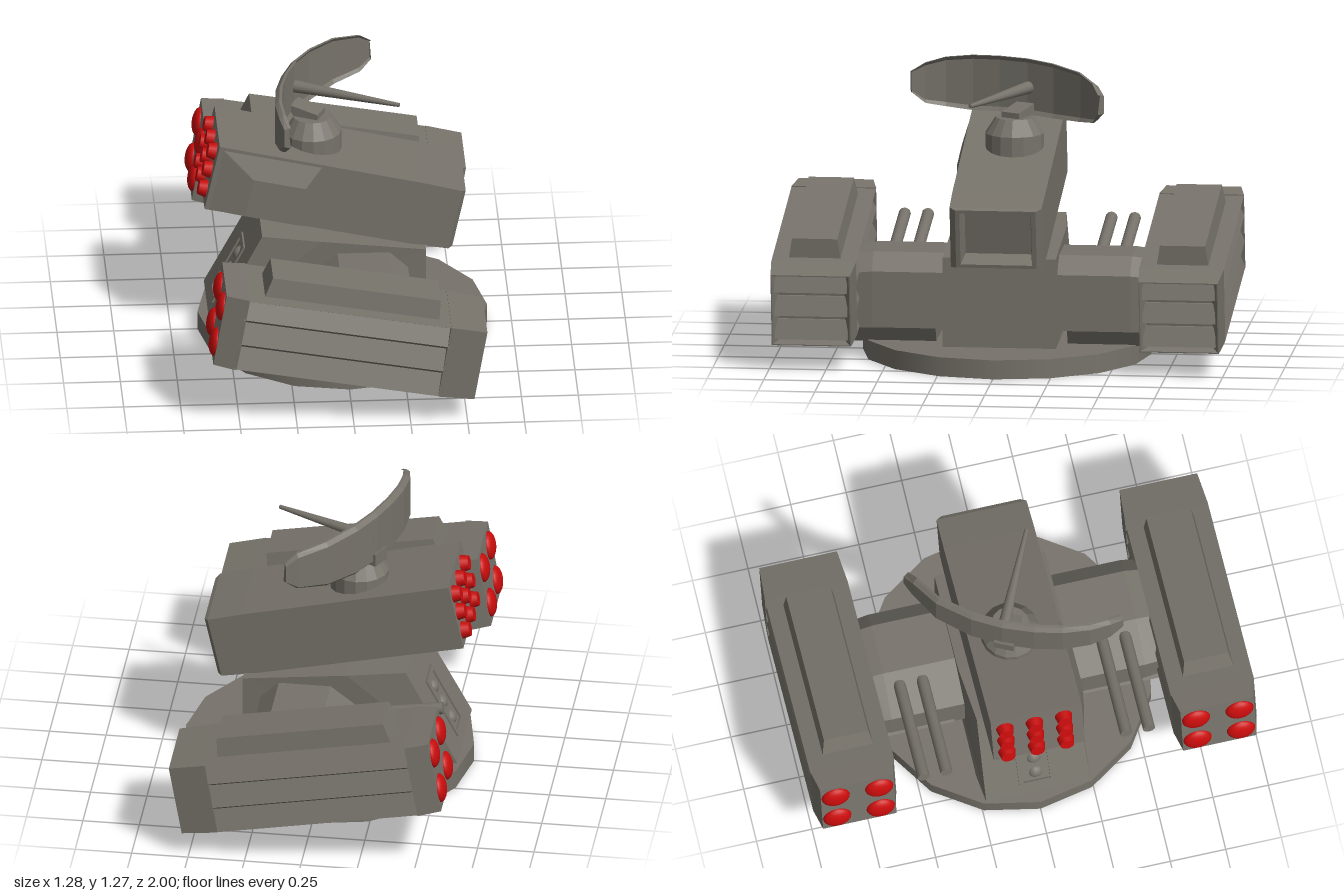
import * as THREE from 'three';

const grey = new THREE.MeshStandardMaterial({ color: 0x77736b });
grey.name = 'armourGrey';
const red = new THREE.MeshStandardMaterial({ color: 0xc80c0c });
red.name = 'warheadRed';

const V = (x, y, z) => new THREE.Vector3(x, y, z);

function add(parent, name, geometry, material = grey, x = 0, y = 0, z = 0) {
  const mesh = new THREE.Mesh(geometry, material);
  mesh.name = name;
  mesh.position.set(x, y, z);
  parent.add(mesh);
  return mesh;
}

// Flat-shaded skin over loops that run counter-clockwise about the direction of travel
function loft(loops) {
  const pos = [];
  const tri = (...points) => points.forEach((p) => pos.push(p.x, p.y, p.z));
  const n = loops[0].length, last = loops[loops.length - 1];
  for (let i = 0; i < loops.length - 1; i++) {
    for (let j = 0; j < n; j++) {
      const k = (j + 1) % n;
      const a = loops[i][j], b = loops[i][k], c = loops[i + 1][k], d = loops[i + 1][j];
      tri(a, b, c);
      tri(a, c, d);
    }
  }
  for (let j = 1; j < n - 1; j++) {
    tri(loops[0][0], loops[0][j + 1], loops[0][j]);
    tri(last[0], last[j], last[j + 1]);
  }
  const g = new THREE.BufferGeometry();
  g.setAttribute('position', new THREE.Float32BufferAttribute(pos, 3));
  g.computeVertexNormals();
  return g;
}

// Rectangular sections across each axis, and a polygon section across z
const rectX = (x, hy, hz) => [V(x, -hy, -hz), V(x, hy, -hz), V(x, hy, hz), V(x, -hy, hz)];
const rectY = (y, x0, x1, hz) => [V(x0, y, -hz), V(x0, y, hz), V(x1, y, hz), V(x1, y, -hz)];
const rectZ = (z, x0, x1, y0, y1) => [V(x0, y0, z), V(x1, y0, z), V(x1, y1, z), V(x0, y1, z)];
const polyZ = (pts, z) => pts.map(([x, y]) => V(x, y, z));
const prism = (pts, z0, z1) => loft([polyZ(pts, z0), polyZ(pts, z1)]);

// Round bar between two points
function bar(parent, name, a, b, ra, rb) {
  const m = add(parent, name, new THREE.CylinderGeometry(rb, ra, a.distanceTo(b), 12));
  m.position.copy(a).lerp(b, 0.5);
  m.quaternion.setFromUnitVectors(V(0, 1, 0), b.clone().sub(a).normalize());
}

function missilePod(z) {
  const pod = new THREE.Group();
  pod.name = 'missilePod';
  pod.position.set(-0.015, 0.375, z);
  pod.rotation.z = THREE.MathUtils.degToRad(-10);

  add(pod, 'muzzleCap', loft([rectX(-0.583, 0.17, 0.165), rectX(-0.48, 0.172, 0.187)]));

  // Slatted sides
  const side = [
    [0.168, 0.187], [0.15, 0.15], [0.075, 0.187], [0.05, 0.15],
    [-0.045, 0.187], [-0.07, 0.15], [-0.168, 0.187],
  ];
  const slats = (x) => [
    ...side.map(([y, w]) => V(x, y, w)),
    ...side.slice().reverse().map(([y, w]) => V(x, y, -w)),
  ];
  add(pod, 'slattedBody', loft([slats(-0.49), slats(0.43)]));

  // Rear cap with a louvred recess
  add(pod, 'rearCap', loft([
    rectX(0.42, 0.17, 0.187), rectX(0.582, 0.165, 0.175),
    rectX(0.582, 0.16, 0.17), rectX(0.535, 0.155, 0.145),
  ]));
  for (const y of [0.115, 0.005, -0.105]) {
    const louvre = prism([[0.53, -0.05], [0.581, -0.032], [0.545, 0.05], [0.53, 0.05]], -0.16, 0.16);
    add(pod, 'rearLouvre', louvre, grey, 0, y, 0);
  }

  add(pod, 'roofPanel', loft([rectY(0.16, -0.41, 0.372, 0.115), rectY(0.254, -0.387, 0.362, 0.1)]));

  for (const y of [-0.088, 0.088]) {
    for (const w of [-0.098, 0.098]) {
      const dome = add(pod, 'missileTip', new THREE.SphereGeometry(0.064, 20, 12), red, -0.582, y, w);
      dome.scale.x = 0.48;
    }
  }
  return pod;
}

function mainLauncher() {
  const box = new THREE.Group();
  box.name = 'mainLauncher';
  box.position.set(-0.036, 0.72, 0);
  box.rotation.z = THREE.MathUtils.degToRad(-12.5);

  // Long housing ending in a hollow rear opening
  add(box, 'housing', loft([
    rectX(-0.556, 0.155, 0.205), rectX(0.386, 0.15, 0.205), rectX(0.54, 0.143, 0.203),
    rectX(0.558, 0.137, 0.178), rectX(0.558, 0.122, 0.158), rectX(0.46, 0.11, 0.145),
  ]));
  // Bulge on one flank only
  add(box, 'flankBulge', loft([
    rectZ(0.2, -0.555, -0.085, -0.155, 0.154),
    rectZ(0.24, -0.38, -0.145, -0.14, 0.04),
  ]));
  for (const y of [-0.095, 0, 0.09]) {
    for (const z of [-0.145, -0.012, 0.12]) {
      const tip = add(box, 'rocketTip', new THREE.CylinderGeometry(0.031, 0.041, 0.045, 16), red, -0.57, y, z);
      tip.rotation.z = Math.PI / 2;
    }
  }
  return box;
}

function radar() {
  const g = new THREE.Group();
  g.name = 'radar';
  const neck = [[0.13, 0.83], [0.13, 0.955], [0.085, 1.025], [0, 1.025]];
  add(g, 'neck', new THREE.LatheGeometry(neck.map(([r, y]) => new THREE.Vector2(r, y)), 16)
    .toNonIndexed(), grey, -0.127, 0, -0.02).geometry.computeVertexNormals();
  const mount = add(g, 'dishMount', prism([[-0.09, 0], [0.07, 0], [0.07, 0.03], [-0.09, 0.06]], -0.045, 0.045), grey, -0.15, 1.02, -0.035);
  mount.rotation.y = -0.45;

  // Curved dish: x, z, lower edge, upper edge
  const path = [
    [0.15, -0.425, 1.095, 1.185], [0.1, -0.395, 1.05, 1.225], [-0.02, -0.32, 1.03, 1.25],
    [-0.13, -0.19, 1.022, 1.265], [-0.2, -0.07, 1.025, 1.272], [-0.25, 0.06, 1.025, 1.272],
    [-0.28, 0.18, 1.022, 1.268], [-0.29, 0.3, 1.035, 1.255], [-0.277, 0.39, 1.05, 1.23],
    [-0.258, 0.45, 1.1, 1.195],
  ];
  const section = [[1, 0], [0.85, 0.018], [-0.85, 0.018], [-1, 0], [-1, -0.012], [-0.85, 0], [0.85, 0], [1, -0.012]];
  const loops = path.map(([x, z, lo, hi], i) => {
    const p = path[Math.max(i - 1, 0)], q = path[Math.min(i + 1, path.length - 1)];
    const t = new THREE.Vector2(q[0] - p[0], q[1] - p[1]).normalize();
    return section.map(([f, back]) =>
      V(x - t.y * back, (lo + hi) / 2 + f * (hi - lo) / 2, z + t.x * back));
  });
  add(g, 'dish', loft(loops));
  bar(g, 'feedHorn', V(-0.213, 1.142, -0.08), V(0.248, 1.142, 0.14), 0.029, 0.009);
  return g;
}

function turretBody() {
  const g = new THREE.Group();
  g.name = 'turretBody';

  // Hull narrowing towards the nose: x, y, half width
  const hull = [[-0.59, 0.12, 0.235], [-0.43, 0.08, 0.25], [0.36, 0.08, 0.25], [0.36, 0.485, 0.25], [-0.1, 0.535, 0.25], [-0.36, 0.555, 0.225]];
  add(g, 'hull', loft([-1, 1].map((s) => hull.map(([x, y, w]) => V(x, y, s * w)))));

  // Cross arm carrying the pods
  const arm = [[-0.2, 0.15], [0.28, 0.15], [0.28, 0.4], [0.2, 0.475], [-0.03, 0.475], [-0.2, 0.34]];
  const small = arm.map(([x, y]) => [x * 0.97, y * 0.98]);
  add(g, 'crossArm', loft([polyZ(small, -0.64), polyZ(arm, -0.57), polyZ(arm, 0.57), polyZ(small, 0.64)]));

  for (const s of [-1, 1]) {
    add(g, 'armBracket', prism([[-0.16, 0.08], [0.23, 0.08], [0.27, 0.15], [-0.16, 0.22], [-0.21, 0.165]], -0.19, 0.19), grey, 0, 0, s * 0.48);
    for (const z of [0.405, 0.508]) {
      bar(g, 'gunBarrel', V(-0.55, 0.497, s * z), V(-0.07, 0.425, s * z), 0.027, 0.027);
    }
  }

  // Framed sensor strip on the sloping nose
  const strip = new THREE.Group();
  strip.name = 'sensorStrip';
  strip.position.set(-0.497, 0.297, 0);
  strip.rotation.z = -Math.atan2(0.23, 0.435);
  g.add(strip);
  for (const s of [-1, 1]) {
    add(strip, 'frameSide', new THREE.BoxGeometry(0.016, 0.3, 0.02), grey, 0, 0, s * 0.07);
    add(strip, 'frameEnd', new THREE.BoxGeometry(0.016, 0.02, 0.14), grey, 0, s * 0.14, 0);
  }
  for (const y of [-0.085, 0, 0.085]) {
    add(strip, 'sensor', new THREE.SphereGeometry(0.038, 14, 10), grey, 0.022, y, 0);
  }
  return g;
}

export function createModel() {
  const model = new THREE.Group();
  model.name = 'missileTurret';
  add(model, 'baseDisc', new THREE.CylinderGeometry(0.637, 0.637, 0.085, 16), grey, 0.005, 0.0425, 0);
  model.add(turretBody(), mainLauncher(), radar(), missilePod(0.812), missilePod(-0.812));
  return model;
}
